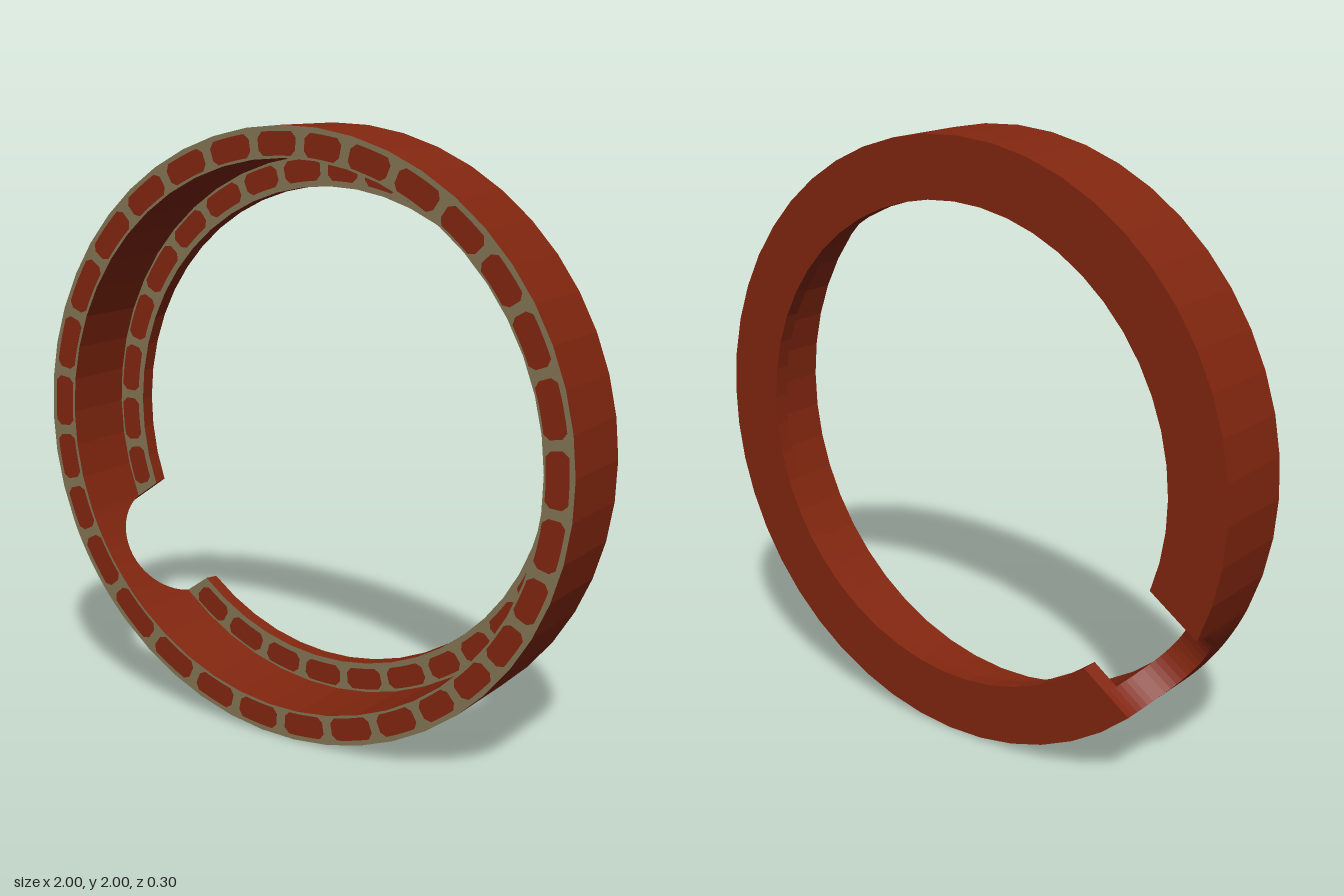
import * as THREE from 'three';
import { mergeGeometries } from 'three/addons/utils/BufferGeometryUtils.js';

const DEG = Math.PI / 180;
const BACK = -0.15, FRONT = 0.15, LEDGE = -0.1;
const GAP = 215 * DEG, GAP_R = 0.2;      // round opening cut radially through the back edge
const ARC_STEPS = 45, SCOOP_STEPS = 28;

const polar = (r, a, z) => [r * Math.cos(a), r * Math.sin(a), z];

// Point on the arc that runs from one side of the opening round to the other
function arcPoint(r, z, u) {
  const half = Math.sqrt(Math.max(0, GAP_R ** 2 - Math.min(GAP_R, z - BACK) ** 2));
  const edge = Math.asin(half / r);
  return polar(r, GAP + edge + u * (2 * Math.PI - 2 * edge), z);
}

// Flat-shaded strip through a list of four-cornered sections; group 1 is the front face
function sweep(sections, caps) {
  const pos = [];
  const geo = new THREE.BufferGeometry();
  const quad = (a, b, c, d) => pos.push(...a, ...b, ...c, ...a, ...c, ...d);
  for (let k = 0; k < 4; k++) {
    const start = pos.length / 3, n = (k + 1) % 4;
    for (let i = 0; i + 1 < sections.length; i++) {
      const s = sections[i], t = sections[i + 1];
      quad(s[k], t[k], t[n], s[n]);
    }
    geo.addGroup(start, pos.length / 3 - start, k === 1 ? 1 : 0);
  }
  if (caps) {
    const start = pos.length / 3, e = sections[sections.length - 1];
    quad(...sections[0]);
    quad(e[3], e[2], e[1], e[0]);
    geo.addGroup(start, 12, 0);
  }
  geo.setAttribute('position', new THREE.Float32BufferAttribute(pos, 3));
  geo.computeVertexNormals();
  return geo;
}

// Outer band: plain arc, then the stretch with the half-round opening
function bandGeometry() {
  const sections = [];
  const corners = [[1, BACK], [1, FRONT], [0.9, FRONT], [0.9, BACK]];
  for (let i = 0; i <= ARC_STEPS; i++) {
    sections.push(corners.map(([r]) => arcPoint(r, BACK, i / ARC_STEPS))
      .map((p, k) => [p[0], p[1], corners[k][1]]));
  }
  for (let i = 1; i <= SCOOP_STEPS; i++) {
    const phi = Math.PI * (1 - i / SCOOP_STEPS);
    sections.push(corners.map(([r, z]) => polar(
      r, GAP + Math.asin(GAP_R * Math.cos(phi) / r),
      z === BACK ? BACK + GAP_R * Math.sin(phi) : z)));
  }
  return sweep(sections, false);
}

// Inner ledge: thin ring at the back, broken by the opening
function ledgeGeometry() {
  const corners = [[0.9, BACK], [0.9, LEDGE], [0.8, LEDGE], [0.8, BACK]];
  const sections = [];
  for (let i = 0; i <= ARC_STEPS; i++) {
    sections.push(corners.map(([r, z]) => arcPoint(r, z, i / ARC_STEPS)));
  }
  return sweep(sections, true);
}

// One curved brick face with clipped corners
function brickGeometry(r0, r1, a0, a1, z) {
  const pts = [], c = 0.018, da = c / r1, N = 4;
  const add = (r, a) => pts.push(new THREE.Vector2(r * Math.cos(a), r * Math.sin(a)));
  add(r0 + c, a0);
  for (let i = 0; i <= N; i++) add(r0, a0 + da + (a1 - a0 - 2 * da) * i / N);
  add(r0 + c, a1);
  add(r1 - c, a1);
  for (let i = 0; i <= N; i++) add(r1, a1 - da - (a1 - a0 - 2 * da) * i / N);
  add(r1 - c, a0);
  return new THREE.ShapeGeometry(new THREE.Shape(pts)).translate(0, 0, z);
}

// Centre angles of the bricks in the outer course, in degrees
const COURSE = [0.6, 13.5, 26, 37.6, 49, 60.5, 71.7, 82, 91.6, 103, 114, 126, 138, 152, 165,
  178, 190, 201, 212.5, 227, 240, 251.6, 262.6, 274, 285, 296.7, 306.5, 316, 327, 337, 348.6];

export function createModel() {
  const brick = new THREE.MeshStandardMaterial({ color: 0x82260f });
  brick.name = 'brickRed';
  const mortar = new THREE.MeshStandardMaterial({ color: 0x837453 });
  mortar.name = 'mortar';

  const group = new THREE.Group();
  group.name = 'brickRing';
  const add = (name, geo, mat) => {
    const mesh = new THREE.Mesh(geo, mat);
    mesh.name = name;
    mesh.position.y = 1;
    group.add(mesh);
  };

  add('outerBand', bandGeometry(), [brick, mortar]);
  add('innerLedge', ledgeGeometry(), [brick, mortar]);

  // Brick faces: the inner course is staggered by half a brick
  const outer = [], inner = [];
  const n = COURSE.length, margin = 1.0;
  const at = i => COURSE[(i + n) % n] + 360 * Math.floor(i / n);
  const mid = i => (at(i) + at(i + 1)) / 2;
  for (let i = 0; i < n; i++) {
    outer.push(brickGeometry(0.907, 0.982, (mid(i - 1) + margin) * DEG, (mid(i) - margin) * DEG, FRONT + 0.002));
    let a0 = at(i) + margin, a1 = at(i + 1) - margin;
    if (a0 < 215) a1 = Math.min(a1, 200);
    else a0 = Math.max(a0, 230);
    if (a1 - a0 > 3) inner.push(brickGeometry(0.818, 0.89, a0 * DEG, a1 * DEG, LEDGE + 0.002));
  }
  add('outerBricks', mergeGeometries(outer), brick);
  add('innerBricks', mergeGeometries(inner), brick);
  return group;
}
